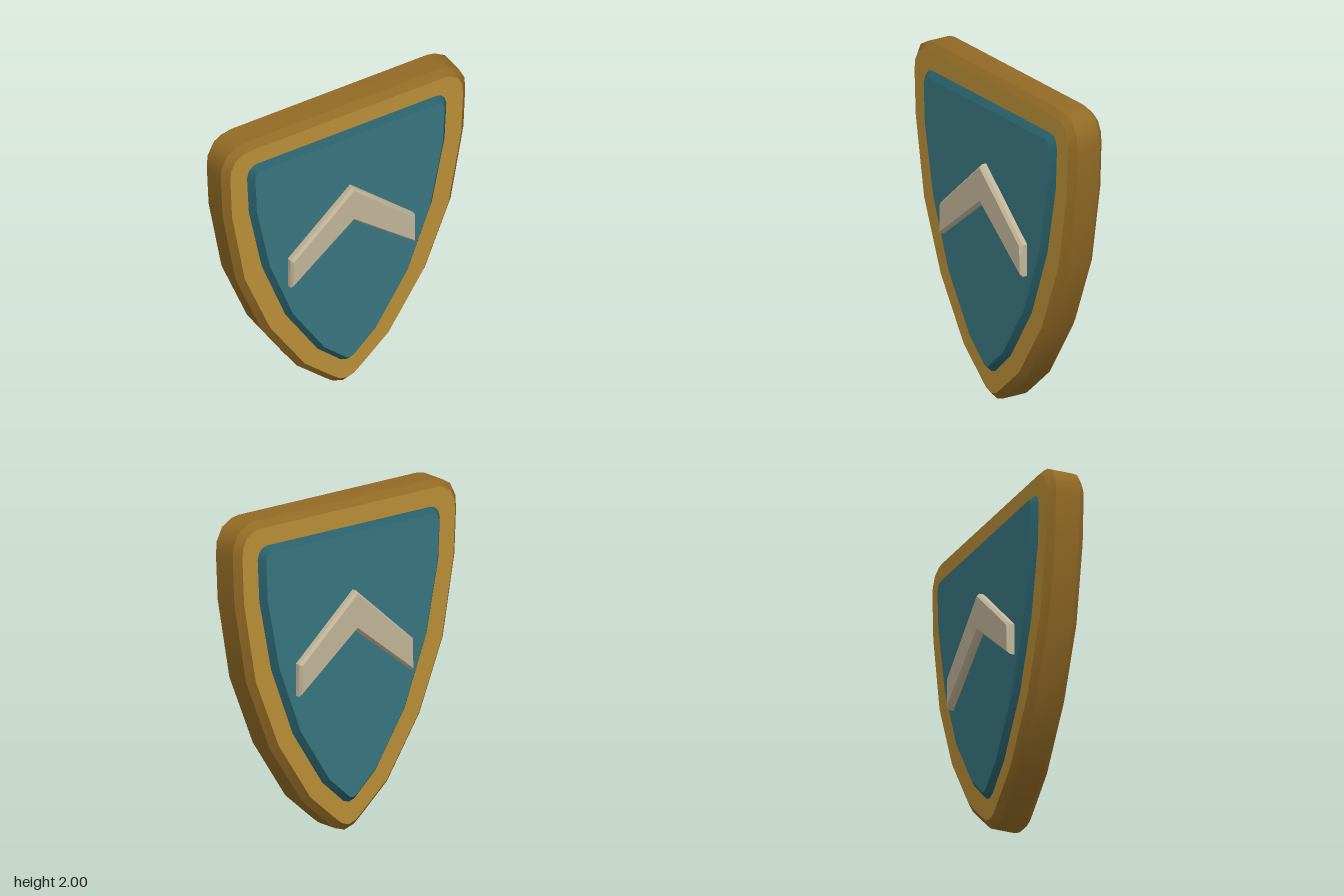
import * as THREE from 'three';
import { toCreasedNormals } from 'three/addons/utils/BufferGeometryUtils.js';

const mat = (name, color) => {
  const m = new THREE.MeshStandardMaterial({ color });
  m.name = name;
  return m;
};

// Symmetric bevelled plate: half lists the +x outline; points off the centre line are mirrored
function plate(name, half, halfDepth, bevel, bevelDepth, faceMat, edgeMat) {
  const mirrored = half.filter(([x]) => x > 0).reverse().map(([x, y]) => [-x, y]);
  // start on the right, go down to the centre and back up the left;
  // a second centre point (if any) closes the outline at the top
  const top = half[0][0] === 0 ? [half[0]] : [];
  const right = half.filter(([x]) => x > 0);
  const outline = [...top, ...right, half[half.length - 1], ...mirrored];
  const shape = new THREE.Shape(outline.map(([x, y]) => new THREE.Vector2(x, y)));
  const depth = 2 * (halfDepth - bevelDepth);
  const geo = new THREE.ExtrudeGeometry(shape, {
    depth, bevelEnabled: true, bevelSegments: 1,
    bevelSize: bevel, bevelOffset: -bevel, bevelThickness: bevelDepth,
  });
  geo.translate(0, 0, -depth / 2);
  const mesh = new THREE.Mesh(toCreasedNormals(geo, 0.65), [faceMat, edgeMat]);
  mesh.name = name;
  return mesh;
}

export function createModel() {
  const gold = mat('gold face', 0xb88e37);
  const darkGold = mat('dark gold edge', 0x926a25);
  const teal = mat('teal face', 0x38757f);
  const darkTeal = mat('dark teal edge', 0x28606a);
  const ivory = mat('ivory', 0xc0b498);

  const group = new THREE.Group();
  group.name = 'shield';

  // Thick outer rim
  group.add(plate('rim', [
    [0.67, 2], [0.72, 1.99], [0.79, 1.95], [0.83, 1.87], [0.835, 1.79], [0.823, 1.52],
    [0.735, 1.03], [0.56, 0.6], [0.317, 0.233], [0.127, 0.068], [0.07, 0.022], [0, 0],
  ], 0.117, 0.04, 0.04, gold, darkGold));

  // Raised panel, standing proud on both sides
  group.add(plate('panel', [
    [0.61, 1.85], [0.645, 1.842], [0.67, 1.815], [0.682, 1.77], [0.67, 1.52],
    [0.582, 1.09], [0.42, 0.67], [0.2, 0.333], [0.04, 0.19], [0, 0.178],
  ], 0.153, 0.035, 0.037, teal, darkTeal));

  // Chevron on the front and back
  group.add(plate('chevron', [
    [0, 1.475], [0.425, 1.105], [0.425, 0.91], [0, 1.235],
  ], 0.2, 0.014, 0.017, ivory, ivory));

  return group;
}
